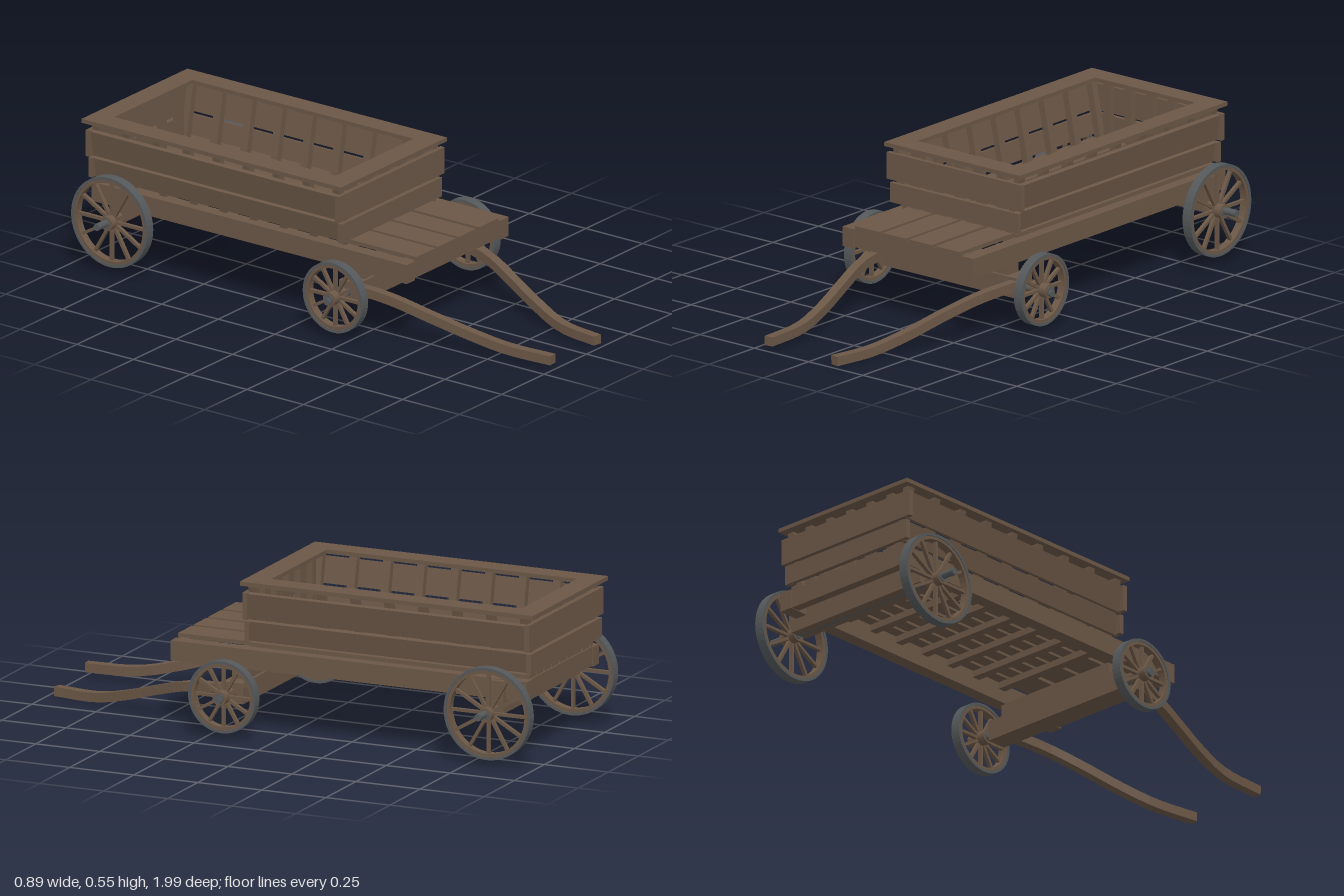
import * as THREE from 'three';

export function createModel() {
  const wood = new THREE.MeshStandardMaterial({ color: 0x6b5746 });
  wood.name = 'brown wood';
  const iron = new THREE.MeshStandardMaterial({ color: 0x55585a });
  iron.name = 'grey iron';
  const root = new THREE.Group();
  root.name = 'wagon';

  const add = (name, geo, mat = wood, parent = root) => {
    const m = new THREE.Mesh(geo, mat);
    m.name = name;
    parent.add(m);
    return m;
  };
  // Box given by its limits on each axis
  const box = (name, x0, x1, y0, y1, z0, z1) => {
    const m = add(name, new THREE.BoxGeometry(x1 - x0, y1 - y0, z1 - z0));
    m.position.set((x0 + x1) / 2, (y0 + y1) / 2, (z0 + z1) / 2);
    return m;
  };

  // Chassis: two long rails, a front header and the axle beams
  box('leftRail', 0.24, 0.29, 0.233, 0.305, -0.95, 0.44);
  box('rightRail', -0.312, -0.262, 0.233, 0.305, -0.95, 0.44);
  box('frontHeader', -0.262, 0.24, 0.235, 0.305, 0.39, 0.43);
  box('rearHeader', -0.262, 0.24, 0.235, 0.305, -0.945, -0.91);
  box('frontAxleBeam', -0.315, 0.315, 0.11, 0.185, 0.145, 0.225);
  box('frontBolster', -0.26, 0.26, 0.185, 0.235, 0.155, 0.215);
  box('rearAxleBeam', -0.312, 0.312, 0.186, 0.303, -0.87, -0.8);

  // Platform planks at the front
  for (const [a, b] of [[-0.254, -0.143], [-0.127, -0.02], [-0.005, 0.098], [0.116, 0.228]])
    box('platformPlank', a, b, 0.303, 0.318, 0.13, 0.44);

  // Bed floor: lengthwise slats on cross bars
  const cx = -0.03;
  for (let i = 0; i < 8; i++) {
    const x = -0.222 + i * 0.0635;
    box('floorPlank', x - 0.025, x + 0.025, 0.305, 0.32, -0.94, 0.15);
  }
  const stakeZ = Array.from({ length: 9 }, (_, i) => 0.135 - i * 0.1325);
  for (const z of stakeZ) box('crossBar', -0.262, 0.24, 0.28, 0.304, z - 0.016, z + 0.016);

  // Flared side walls: stakes inside, two boards outside
  const flare = 0.2;
  const wallX = (y) => 0.235 + (y - 0.305) * flare;
  for (const s of [-1, 1]) {
    for (const z of stakeZ) {
      const stake = add('sideStake', new THREE.BoxGeometry(0.026, 0.235, 0.03));
      stake.position.set(cx + s * wallX(0.42), 0.42, z);
      stake.rotation.z = -s * Math.atan(flare);
    }
    for (const [y, h] of [[0.363, 0.074], [0.458, 0.097]]) {
      const board = add('sideBoard', new THREE.BoxGeometry(0.018, h, 1.1));
      board.position.set(cx + s * (wallX(y) + 0.023), y, -0.395);
      board.rotation.z = -s * Math.atan(flare);
    }
  }

  // End walls
  for (const [z, s] of [[0.155, 1], [-0.945, -1]]) {
    box('lowerEndBoard', cx - 0.295, cx + 0.295, 0.327, 0.399, z - 0.009, z + 0.009);
    box('upperEndBoard', cx - 0.311, cx + 0.311, 0.41, 0.508, z - 0.009, z + 0.009);
    for (let i = -2; i <= 2; i++) {
      const x = cx + i * 0.0985;
      box('endStake', x - 0.015, x + 0.015, 0.305, 0.534, z - s * 0.021 - 0.012, z - s * 0.021 + 0.012);
    }
  }

  // Flat top rim
  const [r0, r1] = [0.532, 0.547];
  box('frontRim', -0.343, 0.281, r0, r1, 0.088, 0.174);
  box('rearRim', -0.343, 0.281, r0, r1, -0.97, -0.888);
  box('rightRim', -0.343, -0.26, r0, r1, -0.888, 0.088);
  box('leftRim', 0.2, 0.281, r0, r1, -0.888, 0.088);

  // Wheel with its axis along x: tyre, wooden felloe, spokes and hub
  const ring = (inner, outer, w) => {
    const shape = new THREE.Shape().absarc(0, 0, outer, 0, Math.PI * 2, false);
    shape.holes.push(new THREE.Path().absarc(0, 0, inner, 0, Math.PI * 2, true));
    return new THREE.ExtrudeGeometry(shape, { depth: w, bevelEnabled: false, curveSegments: 24 })
      .translate(0, 0, -w / 2).rotateY(Math.PI / 2);
  };
  const rod = (r, len) => new THREE.CylinderGeometry(r, r, len, 16).rotateZ(Math.PI / 2);
  const wheel = (name, x, y, z, r, hubLen) => {
    const g = new THREE.Group();
    g.name = name;
    g.position.set(x, y, z);
    root.add(g);
    add('tyre', ring(r - 0.01, r, 0.036), iron, g);
    add('felloe', ring(r - 0.022, r - 0.009, 0.03), wood, g);
    add('hub', rod(0.026, hubLen), wood, g);
    add('hubBand', rod(0.018, hubLen + 0.008), iron, g);
    for (let i = 0; i < 12; i++) {
      const a = (i / 12) * Math.PI * 2;
      const spoke = add('spoke', new THREE.BoxGeometry(0.014, r - 0.032, 0.011), wood, g);
      const mid = (r + 0.006) / 2;
      spoke.position.set(0, Math.cos(a) * mid, Math.sin(a) * mid);
      spoke.rotation.x = a;
    }
  };
  for (const s of [-1, 1]) {
    wheel('frontWheel', s * 0.391, 0.153, 0.185, 0.131, 0.078);
    wheel('rearWheel', s * 0.35, 0.194, -0.83, 0.168, 0.07);
  }
  add('frontAxle', rod(0.013, 0.886), iron).position.set(0, 0.147, 0.185);
  add('rearAxle', rod(0.013, 0.886), iron).position.set(0, 0.198, -0.83);

  // Curved square-section shafts
  const shaft = (name, pts) => {
    const curve = new THREE.CatmullRomCurve3(pts.map((p) => new THREE.Vector3(...p)));
    const n = 16, h = 0.017, pos = [];
    const up0 = new THREE.Vector3(0, 1, 0);
    const rings = Array.from({ length: n + 1 }, (_, i) => {
      const p = curve.getPointAt(i / n), t = curve.getTangentAt(i / n);
      const side = new THREE.Vector3().crossVectors(up0, t).normalize();
      const up = new THREE.Vector3().crossVectors(t, side);
      return [[1, 1], [-1, 1], [-1, -1], [1, -1]].map(([a, b]) =>
        p.clone().addScaledVector(side, a * h).addScaledVector(up, b * h));
    });
    const quad = (a, b, c, d) => [a, b, c, a, c, d].forEach((v) => pos.push(v.x, v.y, v.z));
    for (let i = 0; i < n; i++)
      for (let k = 0; k < 4; k++) {
        const j = (k + 1) % 4;
        quad(rings[i][k], rings[i][j], rings[i + 1][j], rings[i + 1][k]);
      }
    const [a, b, c, d] = rings[0], [e, f, g, q] = rings[n];
    quad(d, c, b, a);
    quad(e, f, g, q);
    const geo = new THREE.BufferGeometry();
    geo.setAttribute('position', new THREE.Float32BufferAttribute(pos, 3));
    geo.computeVertexNormals();
    add(name, geo);
  };
  shaft('rightShaft', [[-0.302, 0.165, 0.2], [-0.29, 0.15, 0.36], [-0.262, 0.112, 0.5],
    [-0.228, 0.07, 0.65], [-0.202, 0.04, 0.8], [-0.19, 0.037, 0.993]]);
  shaft('leftShaft', [[0.302, 0.16, 0.2], [0.262, 0.14, 0.38], [0.215, 0.1, 0.52],
    [0.17, 0.055, 0.66], [0.128, 0.022, 0.8], [0.098, 0.019, 0.975]]);

  return root;
}
